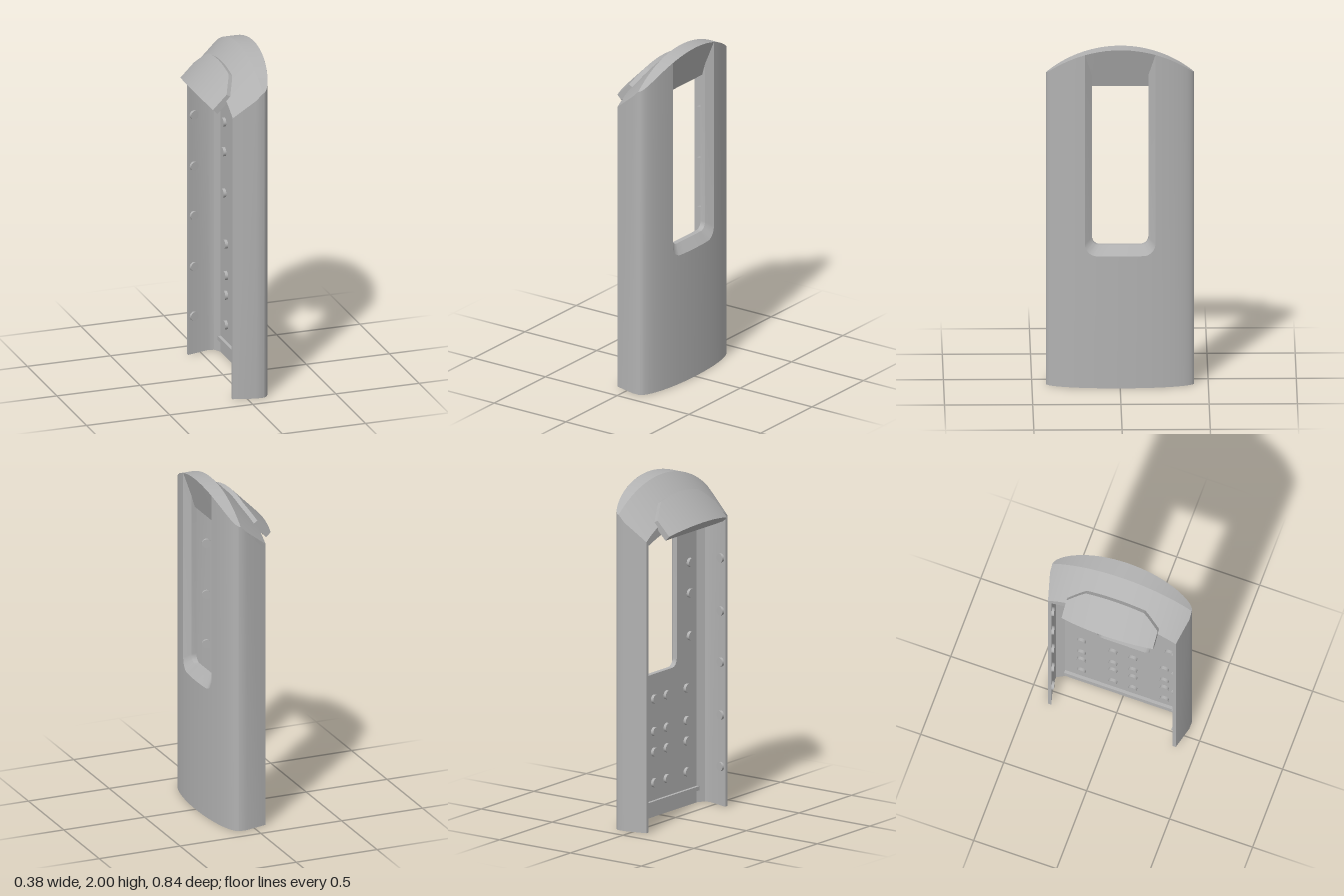
import * as THREE from 'three';
import { toCreasedNormals, mergeGeometries } from 'three/addons/utils/BufferGeometryUtils.js';

const HALF = 0.42;
const range = (a, b, n) => Array.from({ length: n + 1 }, (_, i) => a + (b - a) * i / n);

// Bowed face depth, arched crown height and the 45 degree roof surface
const faceX = z => 0.09 + 0.095 * Math.sqrt(Math.max(0, 1 - (z / HALF) ** 2));
const crown = z => 2 - 0.6465 + Math.sqrt(0.6465 ** 2 - z * z);
const roofY = (x, z) => crown(z) + Math.min(0, x - 0.09);
const backX = z => -0.08 + Math.max(0, Math.abs(z) - 0.385) / 0.035 * 0.13;

// Lower edge of the rounded window opening
const sill = (z, half, y0, r) => {
  const d = Math.max(0, Math.abs(z) - (half - r));
  return y0 + r - Math.sqrt(Math.max(0, r * r - d * d));
};

// Surface through rows of points of equal length
function loft(rows) {
  const n = rows[0].length, index = [];
  for (let i = 0; i < rows.length - 1; i++) {
    for (let j = 0; j < n - 1; j++) {
      const a = i * n + j, b = a + n;
      index.push(a, b, a + 1, b, b + 1, a + 1);
    }
  }
  const g = new THREE.BufferGeometry();
  g.setAttribute('position', new THREE.Float32BufferAttribute(rows.flat(2), 3));
  g.setIndex(index);
  g.computeVertexNormals();
  return g.toNonIndexed();
}

export function createModel() {
  const model = new THREE.Group();
  const grey = new THREE.MeshStandardMaterial({ color: 0xb2b2b2, side: THREE.DoubleSide });
  grey.name = 'plain grey';

  const add = (name, geos) => {
    const mesh = new THREE.Mesh(toCreasedNormals(mergeGeometries(geos), 0.45), grey);
    mesh.name = name;
    model.add(mesh);
    return mesh;
  };

  // Side shells: bowed face, side wall, rear rim and inner lining as one wrapped wall
  const a0 = Math.asin(0.2 / HALF);
  const outer = range(a0, Math.PI / 2, 16).map(a => [faceX(HALF * Math.sin(a)), HALF * Math.sin(a)]);
  const section = [...outer, [0.05, 0.42], [-0.08, 0.385], [-0.08, 0.365],
    [0.05, 0.4], [0.085, 0.395], [0.11, 0.35], [0.11, 0.16]];
  const innerStart = outer.length + 2;
  for (const s of [1, -1]) {
    const wall = loft(section.map(([x, z], i) => [
      [x, 0, s * z],
      [x, roofY(x, z) - (i >= innerStart ? 0.04 : 0), s * z]
    ]));
    add(s > 0 ? 'leftShell' : 'rightShell', [wall]);
  }

  // Lower face below the window, with its inner lining
  const mid = [-0.2, ...range(-0.198, -0.14, 8), ...range(-0.1, 0.1, 8), ...range(0.14, 0.198, 8), 0.2];
  const outSill = z => sill(z, 0.2, 0.78, 0.07);
  const inSill = z => sill(z, 0.16, 0.835, 0.045);
  add('lowerFace', [
    loft(mid.map(z => [[faceX(z), 0, z], [faceX(z), outSill(z), z]])),
    loft(mid.map(z => [[0.11, 0, z * 0.8], [0.11, inSill(z * 0.8), z * 0.8]]))
  ]);

  // Bottom edge of the shell
  const half = section.map(([x, z]) => new THREE.Vector2(x, z));
  const rest = section.map(([x, z]) => new THREE.Vector2(x, -z)).reverse();
  const front = range(-0.2, 0.2, 10).slice(1, -1).map(z => new THREE.Vector2(faceX(z), z));
  const rim = new THREE.ShapeGeometry(new THREE.Shape([...half, ...rest, ...front]));
  rim.rotateX(Math.PI / 2);
  add('bottomEdge', [rim]);

  // Bevelled window surround
  const ring = (w, top, sillAt, xAt) => [
    [xAt(-w), top, -w],
    ...mid.map(z => z * w / 0.2).map(z => [xAt(z), sillAt(z), z]),
    [xAt(w), top, w]
  ];
  add('windowSurround', [loft([
    ring(0.2, crown(0.2), outSill, faceX),
    ring(0.16, 1.84, inSill, () => 0.14),
    ring(0.16, 1.86, inSill, () => 0.11)
  ])]);

  // Roof: level crown, sloped back, rear lip and underside
  const zs = [...range(-1.57, 1.57, 48).map(a => HALF * Math.sin(a)), -HALF, HALF, -0.385, 0.385, -0.2, 0.2]
    .sort((a, b) => a - b);
  add('roof', [loft(zs.map(z => {
    const b = backX(z), t = 0.08 * Math.sqrt(Math.max(0, 1 - (z / HALF) ** 2));
    return [
      [faceX(z), crown(z), z], [0.09, crown(z), z], [b, roofY(b, z), z],
      [b, roofY(b, z) - t, z], [0.09, crown(z) - t, z]
    ];
  }))]);

  // Hood face above the window, leaning inward as it descends
  add('windowHood', [loft(range(-0.2, 0.2, 16).map(z => [
    [faceX(z), crown(z), z], [0.14, 1.84, z * 0.8], [0.12, 1.77, z * 0.8],
    [0.085, 1.77, z * 0.8], [0.085, 1.92, z * 0.8]
  ]))]);

  // Tilted rear visor following the arch of the roof
  const visor = range(-0.275, 0.275, 22).map(z => {
    const c = crown(z) - 0.055, e = (1.565 - c) / 2;
    const t = -0.03 - Math.max(0, Math.abs(z) - 0.18) * 0.5;
    const u = t + 0.025;
    return [
      [e, e + c, z], [t, t + c, z], [u, roofY(u, z) - 0.005, z],
      [-0.04, 1.79, z], [-0.1325, 1.6975, z], [e, e + c, z]
    ];
  });
  const cap = row => {
    const m = [0, 1, 2].map(k => row.slice(0, 5).reduce((sum, p) => sum + p[k], 0) / 5);
    return loft([row, row.map(() => m)]);
  };
  add('rearVisor', [loft(visor), cap(visor[0]), cap(visor[visor.length - 1])]);

  // Ledge inside the foot
  const ledge = new THREE.Mesh(new THREE.BoxGeometry(0.02, 0.025, 0.7), grey);
  ledge.name = 'innerLedge';
  ledge.position.set(0.102, 0.085, 0);
  model.add(ledge);

  // Round fixing pegs
  const pegGeo = new THREE.CylinderGeometry(0.026, 0.026, 0.024, 20);
  const up = new THREE.Vector3(0, 1, 0);
  const peg = (x, y, z, nx, ny, nz) => {
    const m = new THREE.Mesh(pegGeo, grey);
    m.name = 'peg';
    m.position.set(x, y, z);
    m.quaternion.setFromUnitVectors(up, new THREE.Vector3(nx, ny, nz).normalize());
    model.add(m);
  };
  for (const s of [1, -1]) {
    for (const y of [0.23, 0.53, 0.84, 1.14, 1.45]) peg(-0.045, y, s * 0.372, 0.26, 0, -s);
    for (const y of [0.2, 0.38, 0.5, 0.69]) {
      peg(0.105, y, s * 0.06, -1, 0, 0);
      peg(0.105, y, s * 0.25, -1, 0, 0);
    }
    for (const y of [0.99, 1.24, 1.42]) peg(0.105, y, s * 0.28, -1, 0, 0);
  }
  peg(-0.06, 1.77, 0, 1, -1, 0);

  return model;
}
